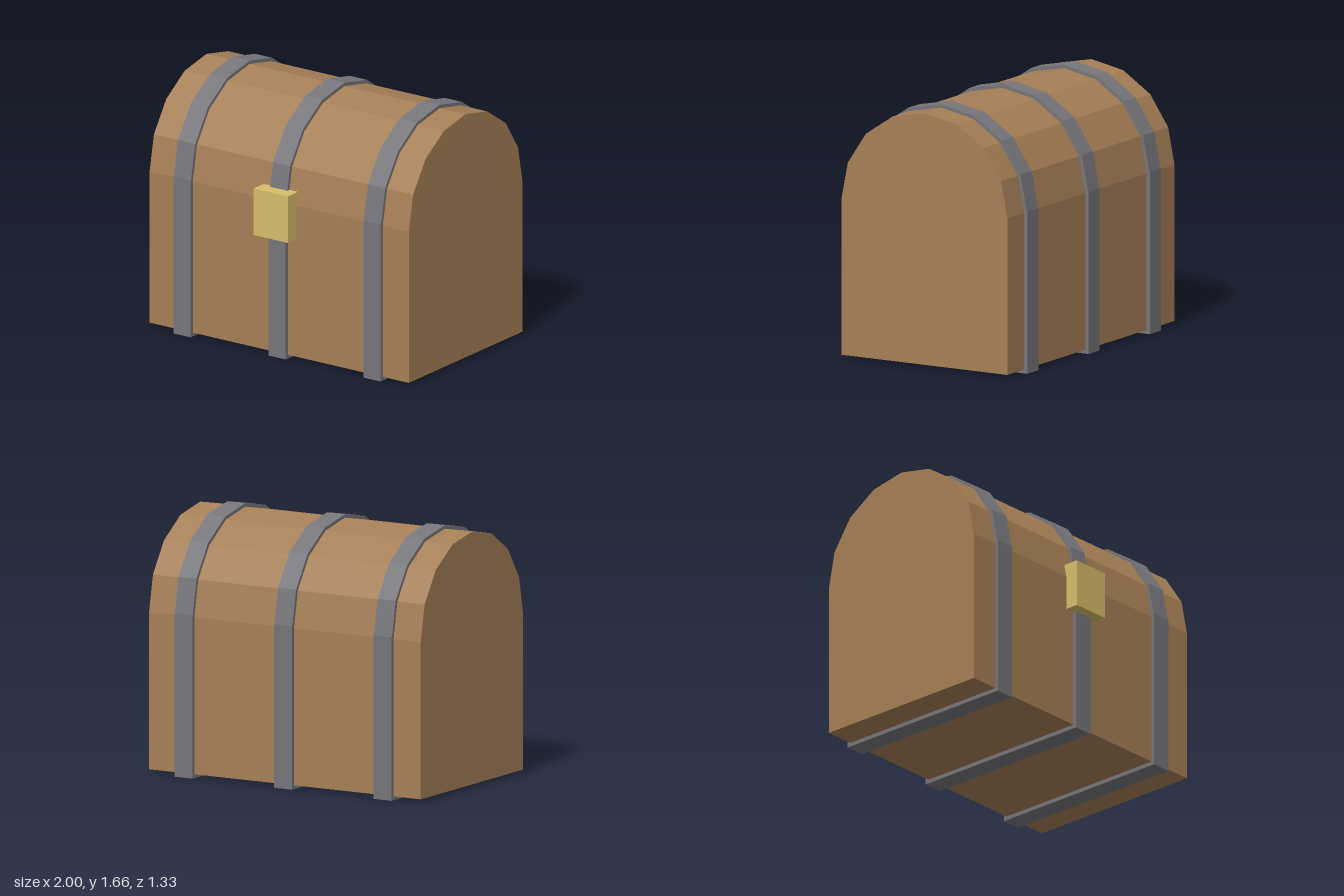
import * as THREE from 'three';

const wood = new THREE.MeshStandardMaterial({ color: 0xa67f56 });
wood.name = 'brown wood';
const iron = new THREE.MeshStandardMaterial({ color: 0x76767b });
iron.name = 'grey iron';
const brass = new THREE.MeshStandardMaterial({ color: 0xd8bd69 });
brass.name = 'yellow brass';

const SEAM = 1.025; // height where the lid meets the base
const ARCH_SIDES = 8;

// Faceted half-round, running along x and centred on x
function archGeometry(radius, width) {
  const points = [];
  for (let i = 0; i <= ARCH_SIDES; i++) {
    const a = (i / ARCH_SIDES) * Math.PI;
    points.push(new THREE.Vector2(Math.cos(a) * radius, Math.sin(a) * radius));
  }
  const geometry = new THREE.ExtrudeGeometry(new THREE.Shape(points), { depth: width, bevelEnabled: false });
  return geometry.translate(0, 0, -width / 2).rotateY(Math.PI / 2).translate(0, SEAM, 0);
}

// Box given by its bottom and top heights
function boxGeometry(width, bottom, top, depth) {
  return new THREE.BoxGeometry(width, top - bottom, depth).translate(0, (bottom + top) / 2, 0);
}

function addPart(parent, name, geometry, material, x = 0, z = 0) {
  const mesh = new THREE.Mesh(geometry, material);
  mesh.name = name;
  mesh.position.set(x, 0, z);
  parent.add(mesh);
  return mesh;
}

export function createModel() {
  const model = new THREE.Group();
  model.name = 'treasureChest';

  // The body sits slightly back so that body and lock together are centred
  const body = new THREE.Group();
  body.name = 'chestBody';
  body.position.z = -0.033;
  model.add(body);

  // Wooden base and rounded lid
  addPart(body, 'base', boxGeometry(2, 0.025, SEAM, 1.22), wood);
  addPart(body, 'lid', archGeometry(0.61, 2), wood);

  // Three iron straps, each a lower band and an arched lid band
  const lowerBand = boxGeometry(0.133, 0, 1.042, 1.266);
  const lidBand = archGeometry(0.632, 0.133);
  for (const x of [-0.733, 0, 0.733]) {
    addPart(body, 'lowerStrap', lowerBand, iron, x);
    addPart(body, 'lidStrap', lidBand, iron, x);
  }

  // Brass lock plate
  addPart(model, 'lock', boxGeometry(0.265, 0.803, 1.112, 0.11), brass, 0, 0.611);

  return model;
}
